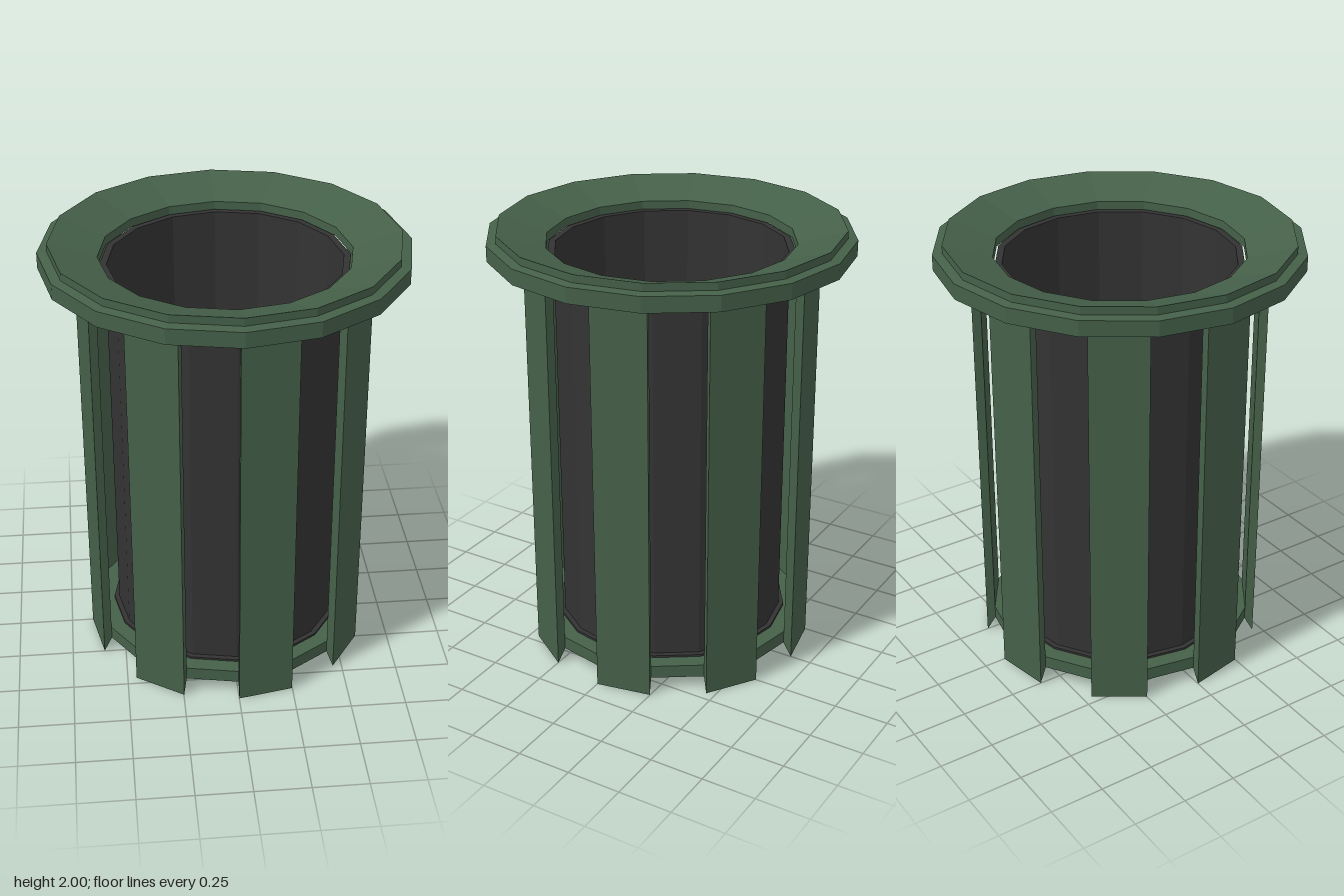
import * as THREE from 'three';

const SIDES = 16;
const STEP = (Math.PI * 2) / SIDES;

const green = new THREE.MeshStandardMaterial({ color: 0x456049, flatShading: true });
const dark = new THREE.MeshStandardMaterial({ color: 0x333333, flatShading: true });

// 16-sided turned part from [radius, height] pairs, outer side listed upwards
function turned(name, profile, material) {
  const points = profile.map(([r, y]) => new THREE.Vector2(r, y));
  const mesh = new THREE.Mesh(new THREE.LatheGeometry(points, SIDES), material);
  mesh.name = name;
  return mesh;
}

// One facet-wide slat: a box bent onto the 16-gon, its foot bevelled inwards
function slatGeometry() {
  const geo = new THREE.BoxGeometry(1, 1, 1);
  const p = geo.attributes.position;
  for (let i = 0; i < p.count; i++) {
    const outer = p.getZ(i) > 0;
    const r = outer ? 0.65 : 0.61;
    const a = p.getX(i) > 0 ? STEP : 0;
    const y = p.getY(i) > 0 ? 1.89 : outer ? 0 : 0.065;
    p.setXYZ(i, r * Math.sin(a), y, r * Math.cos(a));
  }
  geo.computeVertexNormals();
  return geo;
}

export function createModel() {
  const bin = new THREE.Group();
  bin.name = 'litterBin';

  // Base disc held between the slats
  bin.add(turned('base', [[0, 0.065], [0.61, 0.065], [0.61, 0.125], [0, 0.125]], green));

  // Stepped rim whose top slopes down into the opening
  bin.add(turned('rim', [
    [0.55, 1.89], [0.805, 1.89], [0.805, 1.96], [0.762, 1.965],
    [0.762, 2], [0.55, 1.93], [0.55, 1.89],
  ], green));

  // Open inner bucket with a small lip at each end
  bin.add(turned('liner', [
    [0, 0.126], [0.54, 0.126], [0.54, 0.136], [0.517, 0.136], [0.517, 1.875],
    [0.542, 1.88], [0.542, 1.895], [0.512, 1.895], [0.512, 0.14], [0, 0.14],
  ], dark));

  // Slats on every second facet
  const slats = new THREE.Group();
  slats.name = 'slats';
  const geo = slatGeometry();
  for (let i = 0; i < SIDES / 2; i++) {
    const slat = new THREE.Mesh(geo, green);
    slat.name = 'slat';
    slat.rotation.y = i * 2 * STEP;
    slats.add(slat);
  }
  bin.add(slats);

  return bin;
}
